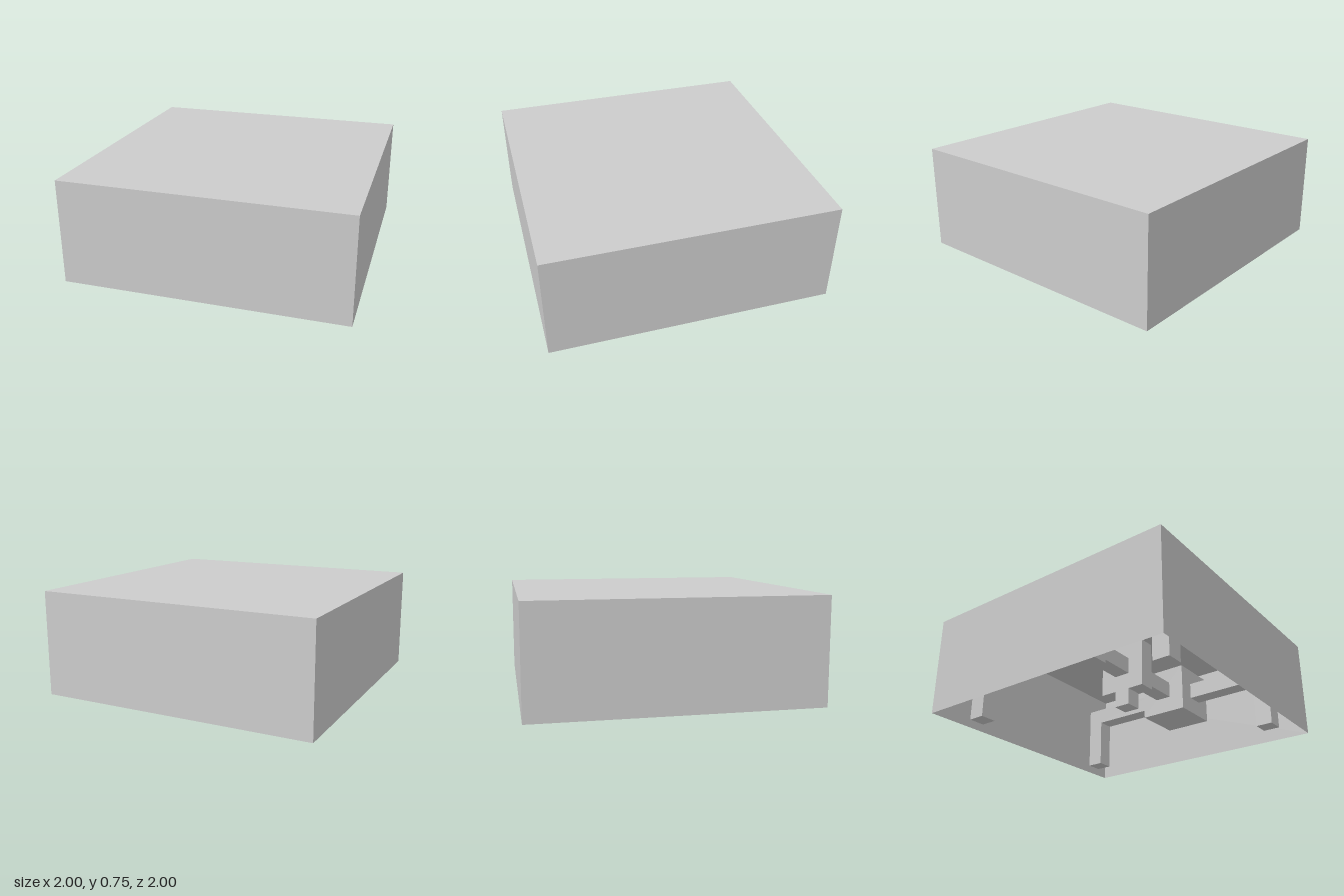
import * as THREE from 'three';

const U = 0.125; // grid step
const solid = new THREE.MeshStandardMaterial({ color: 0xcccccc, flatShading: true });
const thin = new THREE.MeshStandardMaterial({ color: 0xcccccc, flatShading: true, side: THREE.DoubleSide });

// Block from min and max corners, in grid steps
function block(name, [x0, y0, z0], [x1, y1, z1]) {
  const mesh = new THREE.Mesh(new THREE.BoxGeometry((x1 - x0) * U, (y1 - y0) * U, (z1 - z0) * U), solid);
  mesh.position.set((x0 + x1) / 2 * U, (y0 + y1) / 2 * U, (z0 + z1) / 2 * U);
  mesh.name = name;
  return mesh;
}

export function createModel() {
  const model = new THREE.Group();
  model.name = 'openBottomCover';

  // Thin shell: four walls and a top, open underneath
  const shell = new THREE.Group();
  shell.name = 'shell';
  for (let i = 0; i < 4; i++) {
    const wall = new THREE.Mesh(new THREE.PlaneGeometry(16 * U, 6 * U), thin);
    const a = i * Math.PI / 2;
    wall.position.set(Math.sin(a) * 8 * U, 3 * U, Math.cos(a) * 8 * U);
    wall.rotation.y = a;
    wall.name = 'wall';
    shell.add(wall);
  }
  const top = new THREE.Mesh(new THREE.PlaneGeometry(16 * U, 16 * U), thin);
  top.rotation.x = -Math.PI / 2;
  top.position.y = 6 * U;
  top.name = 'topPanel';
  shell.add(top);
  model.add(shell);

  // Side frames: a hub with an arm and a leg to the front and back
  for (const s of [1, -1]) {
    const frame = new THREE.Group();
    frame.name = s > 0 ? 'leftFrame' : 'rightFrame';
    const c = s * 5.5;
    frame.add(block('hub', [c - 1.5, 2, -1.5], [c + 1.5, 5, 1.5]));
    for (const [near, knee, end] of [[1.5, 6, 7], [-1.5, -6, -7]]) {
      const sorted = (a, b) => [Math.min(a, b), Math.max(a, b)];
      const [a0, a1] = sorted(near, knee);
      const [l0, l1] = sorted(knee, end);
      frame.add(block('arm', [c - 0.5, 3, a0], [c + 0.5, 4, a1]));
      frame.add(block('leg', [c - 0.5, 0, l0], [c + 0.5, 4, l1]));
    }
    model.add(frame);
  }

  // Cross bar between the hubs, with the middle plate and its stub
  model.add(block('crossBar', [-4, 3, -0.5], [4, 4, 0.5]));
  model.add(block('middlePlate', [-0.5, 2, -1.5], [0.5, 5, 1.5]));
  model.add(block('middleStub', [-0.5, 1, -0.5], [0.5, 2, 0.5]));

  return model;
}
